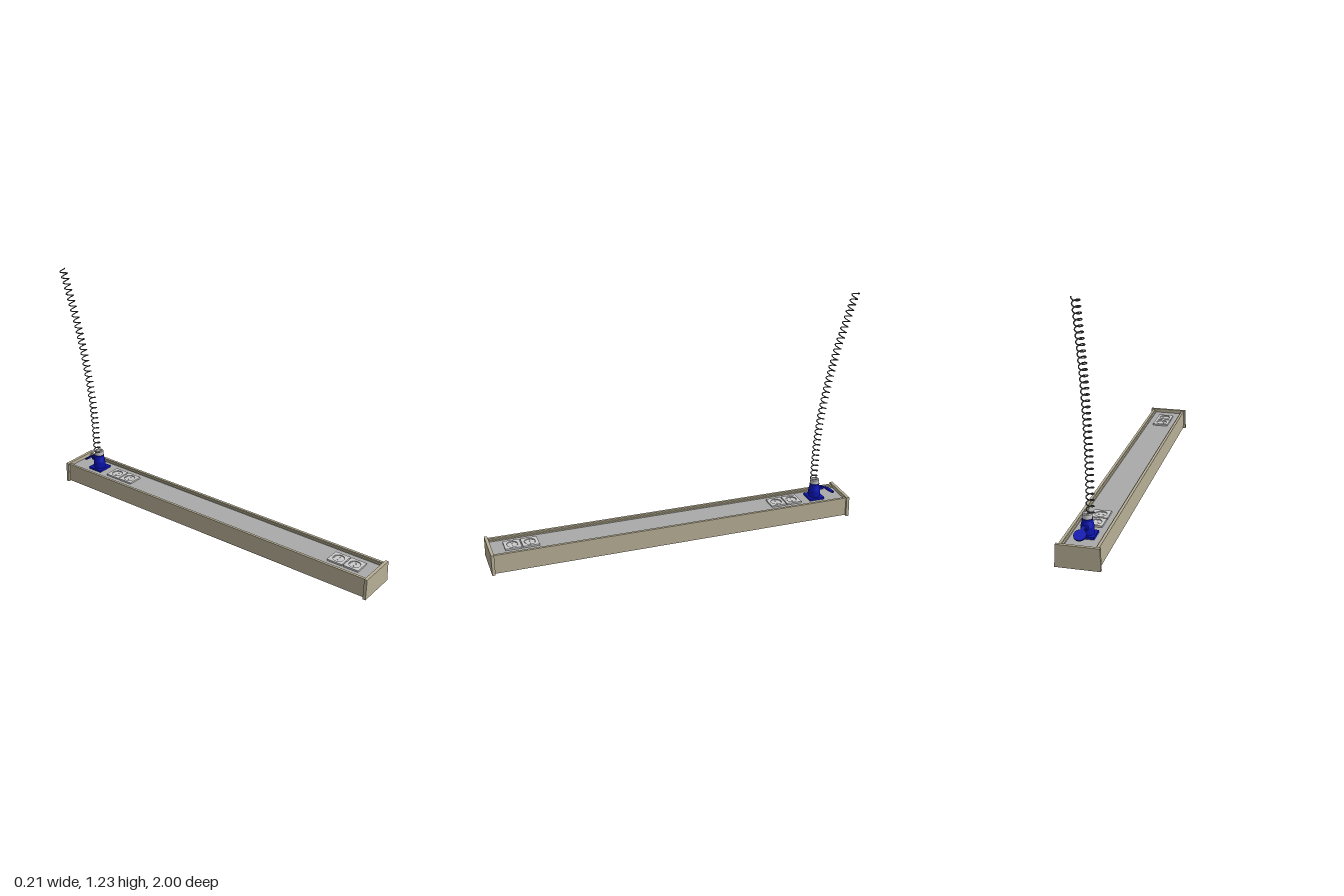
import * as THREE from 'three';

export function createModel() {
  const root = new THREE.Group();
  root.name = 'powerStrip';
  const mat = (color, extra = {}) => new THREE.MeshStandardMaterial({ color, ...extra });
  const beige = mat(0xb8b096), panelGrey = mat(0xaaaaaa), grey = mat(0xcccccc);
  const blue = mat(0x0a14b4), wire = mat(0x555555);

  const add = (name, geo, material, x = 0, y = 0, z = 0, parent = root) => {
    const m = new THREE.Mesh(geo, material);
    m.name = name;
    m.position.set(x, y, z);
    parent.add(m);
    return m;
  };
  const box = (w, h, d) => new THREE.BoxGeometry(w, h, d);
  const polygon = (pts) => new THREE.Shape(pts.map(([x, y]) => new THREE.Vector2(x, y)));
  const extrude = (shape, depth) =>
    new THREE.ExtrudeGeometry(shape, { depth, bevelEnabled: false, curveSegments: 24 });

  // Long channel: grey tray between two stepped side rails
  const back = -0.942, front = 0.985, length = front - back, mid = (front + back) / 2;
  const deckY = 0.09;
  add('basePlate', box(0.18, 0.012, length), panelGrey, 0, 0.007, mid);
  add('deck', box(0.16, 0.01, length), panelGrey, 0, deckY - 0.005, mid);
  for (const s of [1, -1]) {
    const pts = [[0.078, 0.002], [0.094, 0.002], [0.094, 0.105], [0.081, 0.105], [0.081, 0.097], [0.074, 0.097], [0.074, 0.08], [0.078, 0.08]];
    const rail = extrude(polygon(pts.map(([x, y]) => [s * x, y])), length);
    add(s > 0 ? 'leftRail' : 'rightRail', rail, beige, 0, 0, back);
  }

  // Slightly tapered end caps
  const cap = extrude(polygon([[-0.107, 0], [0.107, 0], [0.103, 0.11], [-0.103, 0.11]]), 0.016);
  add('frontCap', cap, beige, 0, 0, 0.984);
  add('backCap', cap, beige, 0, 0, -0.956);

  // Sockets: square frame, round well and two contact holes
  const frame = polygon([[-0.042, -0.042], [0.042, -0.042], [0.042, 0.042], [-0.042, 0.042]]);
  const well = new THREE.Path();
  well.absarc(0, 0, 0.029, 0, Math.PI * 2, true);
  frame.holes.push(well);
  const frameGeo = extrude(frame, 0.009).rotateX(-Math.PI / 2);
  const face = new THREE.Shape();
  face.absarc(0, 0, 0.029, 0, Math.PI * 2, false);
  for (const s of [1, -1]) {
    const pin = new THREE.Path();
    pin.absarc(s * 0.011, 0, 0.003, 0, Math.PI * 2, true);
    face.holes.push(pin);
  }
  const faceGeo = extrude(face, 0.004).rotateX(-Math.PI / 2);
  for (const z of [-0.658, -0.568, 0.785, 0.875]) {
    const socket = new THREE.Group();
    socket.name = 'socket';
    socket.position.set(-0.002, deckY, z);
    add('socketFrame', frameGeo, grey, 0, 0, 0, socket);
    add('socketFace', faceGeo, grey, 0, 0, 0, socket);
    for (const s of [1, -1]) add('earthClip', box(0.006, 0.007, 0.004), grey, 0, 0.0035, s * 0.026, socket);
    root.add(socket);
  }

  // Blue power inlet with a grey collar
  const inlet = new THREE.Group();
  inlet.name = 'powerInlet';
  inlet.position.set(-0.001, 0, -0.793);
  root.add(inlet);
  const lathe = (pts) => new THREE.LatheGeometry(pts.map(([x, y]) => new THREE.Vector2(x, y)), 28);
  // Repeated profile points keep the rims crisp
  const crisp = (pts) => pts.flatMap((p) => [p, p]);
  add('inletFlange', box(0.084, 0.012, 0.084), blue, 0, deckY + 0.006, 0, inlet);
  add('inletBody', lathe(crisp([[0.032, 0.1], [0.032, 0.138], [0.026, 0.165], [0.026, 0.175], [0, 0.175]])), blue, 0, 0, 0, inlet);
  add('collar', lathe(crisp([[0.019, 0.173], [0.024, 0.177], [0.024, 0.198], [0.021, 0.202], [0.015, 0.202], [0.015, 0.185], [0, 0.185]])), grey, 0, 0, 0, inlet);

  // Flipped-open round lid behind the inlet
  const lid = new THREE.Group();
  lid.name = 'lid';
  lid.position.set(0.01, 0.127, -0.877);
  lid.rotation.x = -0.52;
  root.add(lid);
  add('lidDisc', new THREE.CylinderGeometry(0.03, 0.03, 0.008, 28), blue, 0, 0, 0, lid);
  add('lidArm', box(0.018, 0.007, 0.03), blue, -0.005, 0, 0.035, lid);
  add('lidHinge', box(0.024, 0.014, 0.025), blue, 0, 0.142, -0.036, inlet);

  // Coiled cable along a backward-leaning curve
  const axis = new THREE.CatmullRomCurve3([
    [0.19, -0.793], [0.4, -0.8], [0.59, -0.82], [0.88, -0.876], [1.08, -0.932], [1.232, -0.978],
  ].map(([y, z]) => new THREE.Vector3(-0.015, y, z)));
  class Coil extends THREE.Curve {
    getPoint(t, target = new THREE.Vector3()) {
      const a = t * 35 * Math.PI * 2, r = 0.018;
      const tan = axis.getTangent(t);
      const normal = new THREE.Vector3(0, -tan.z, tan.y);
      return target.copy(axis.getPointAt(t))
        .add(new THREE.Vector3(r * Math.cos(a), 0, 0))
        .addScaledVector(normal, r * Math.sin(a));
    }
  }
  add('coiledCable', new THREE.TubeGeometry(new Coil(), 35 * 20, 0.003, 6), wire);

  return root;
}
